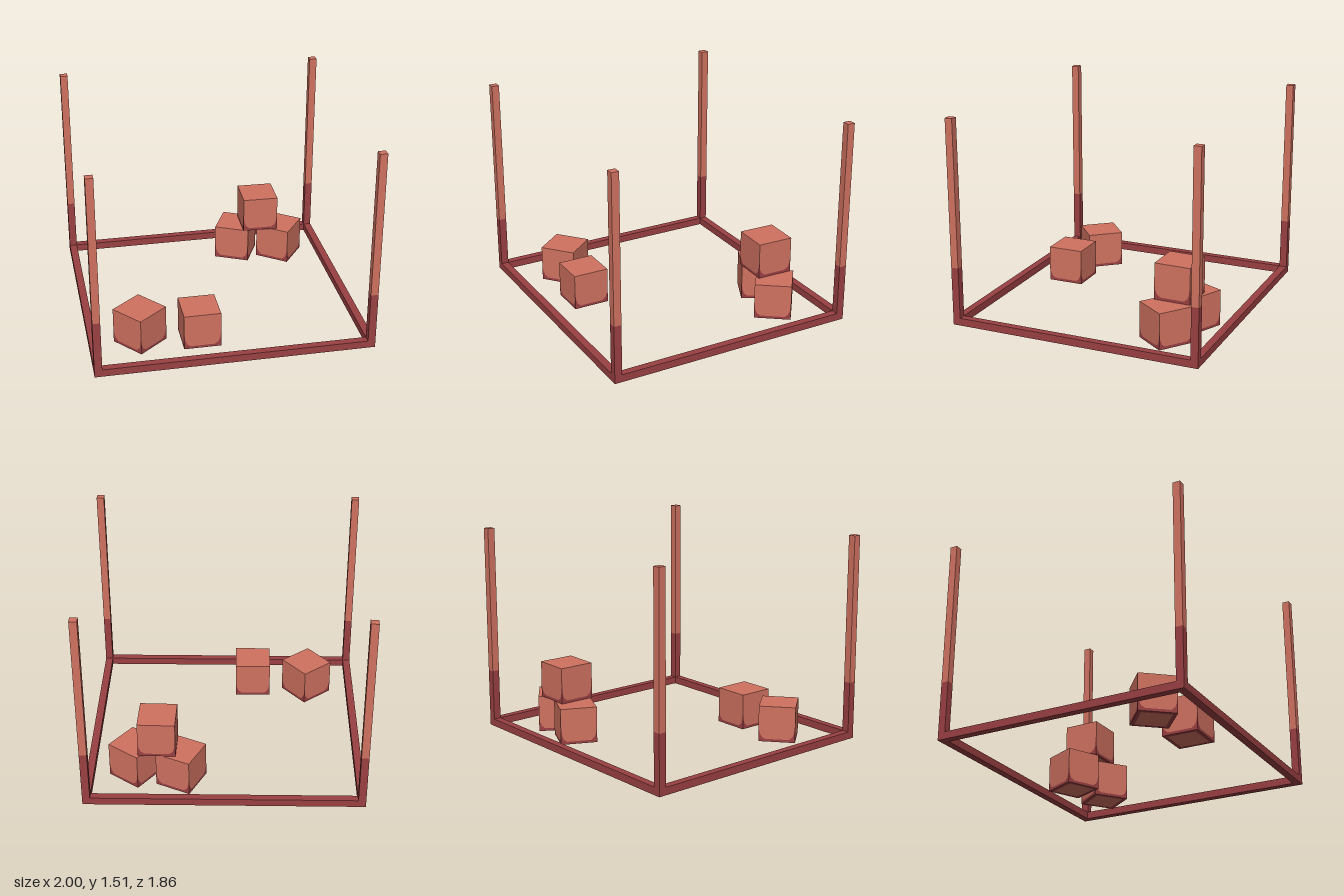
import * as THREE from 'three';

const W = 2, D = 1.86, BAR = 0.055, POST_H = 1.51, PAINT_H = 0.43, S = 0.267;

export function createModel() {
  const clay = new THREE.MeshStandardMaterial({ color: 0xd07260 });
  clay.name = 'clay red';
  const maroon = new THREE.MeshStandardMaterial({ color: 0x9a4042 });
  maroon.name = 'maroon';

  const model = new THREE.Group();
  model.name = 'cratesInFrame';

  const add = (parent, name, geometry, material, x = 0, y = 0, z = 0) => {
    const mesh = new THREE.Mesh(geometry, material);
    mesh.name = name;
    mesh.position.set(x, y, z);
    parent.add(mesh);
    return mesh;
  };

  // Base rails between the posts
  for (const s of [-1, 1]) {
    add(model, 'crossRail', new THREE.BoxGeometry(W - 2 * BAR, BAR, BAR), maroon, 0, BAR / 2, s * (D - BAR) / 2);
    add(model, 'sideRail', new THREE.BoxGeometry(BAR, BAR, D - 2 * BAR), maroon, s * (W - BAR) / 2, BAR / 2, 0);
  }

  // Corner posts with a dark lower section
  for (const sx of [-1, 1]) for (const sz of [-1, 1]) {
    const post = new THREE.Group();
    post.name = 'cornerPost';
    post.position.set(sx * (W - BAR) / 2, 0, sz * (D - BAR) / 2);
    add(post, 'postFoot', new THREE.BoxGeometry(BAR, PAINT_H, BAR), maroon, 0, PAINT_H / 2, 0);
    add(post, 'postShaft', new THREE.BoxGeometry(BAR, POST_H - PAINT_H, BAR), clay, 0, (POST_H + PAINT_H) / 2, 0);
    model.add(post);
  }

  // Crate faces: a light panel above a curved dark hem
  const h = S / 2;
  const polygon = (pts) => new THREE.Shape(pts.map(([x, y]) => new THREE.Vector2(x, y)));
  const hemCurve = [[-h, 0.13], [-h + 0.008, 0.07], [-h + 0.02, 0.04], [-h + 0.045, 0.02]];
  const hemRight = hemCurve.map(([x, y]) => [-x, y]).reverse();
  const panelGeo = new THREE.ShapeGeometry(polygon([[-h, S], ...hemCurve, ...hemRight, [h, S]]));
  const hemGeo = new THREE.ShapeGeometry(polygon([[-h, 0], [h, 0], ...[...hemCurve, ...hemRight].reverse()]));

  // Crate underside: dark border around a light square
  const square = (r) => [[-r, -r], [r, -r], [r, r], [-r, r]];
  const inner = h - 0.028;
  const border = polygon(square(h));
  border.holes.push(polygon(square(inner)));
  const borderGeo = new THREE.ShapeGeometry(border).rotateX(Math.PI / 2);
  const basePanelGeo = new THREE.ShapeGeometry(polygon(square(inner))).rotateX(Math.PI / 2);
  const lidGeo = new THREE.PlaneGeometry(S, S).rotateX(-Math.PI / 2);

  const addCrate = (x, y, z, turn) => {
    const crate = new THREE.Group();
    crate.name = 'crate';
    crate.position.set(x, y, z);
    crate.rotation.y = turn;
    for (let i = 0; i < 4; i++) {
      const side = new THREE.Group();
      side.name = 'crateSide';
      side.rotation.y = i * Math.PI / 2;
      add(side, 'sidePanel', panelGeo, clay, 0, 0, h);
      add(side, 'sideHem', hemGeo, maroon, 0, 0, h);
      crate.add(side);
    }
    add(crate, 'crateTop', lidGeo, clay, 0, S, 0);
    add(crate, 'baseBorder', borderGeo, maroon);
    add(crate, 'basePanel', basePanelGeo, clay);
    model.add(crate);
  };

  // Two loose crates, and a stack of three
  addCrate(-0.205, 0.003, 0.575, 0);
  addCrate(-0.628, 0.003, 0.527, 0.692);
  addCrate(0.3125, 0.003, -0.6325, -0.447);
  addCrate(0.648, 0.003, -0.558, -0.636);
  addCrate(0.477, 0.272, -0.588, -0.025);

  return model;
}
